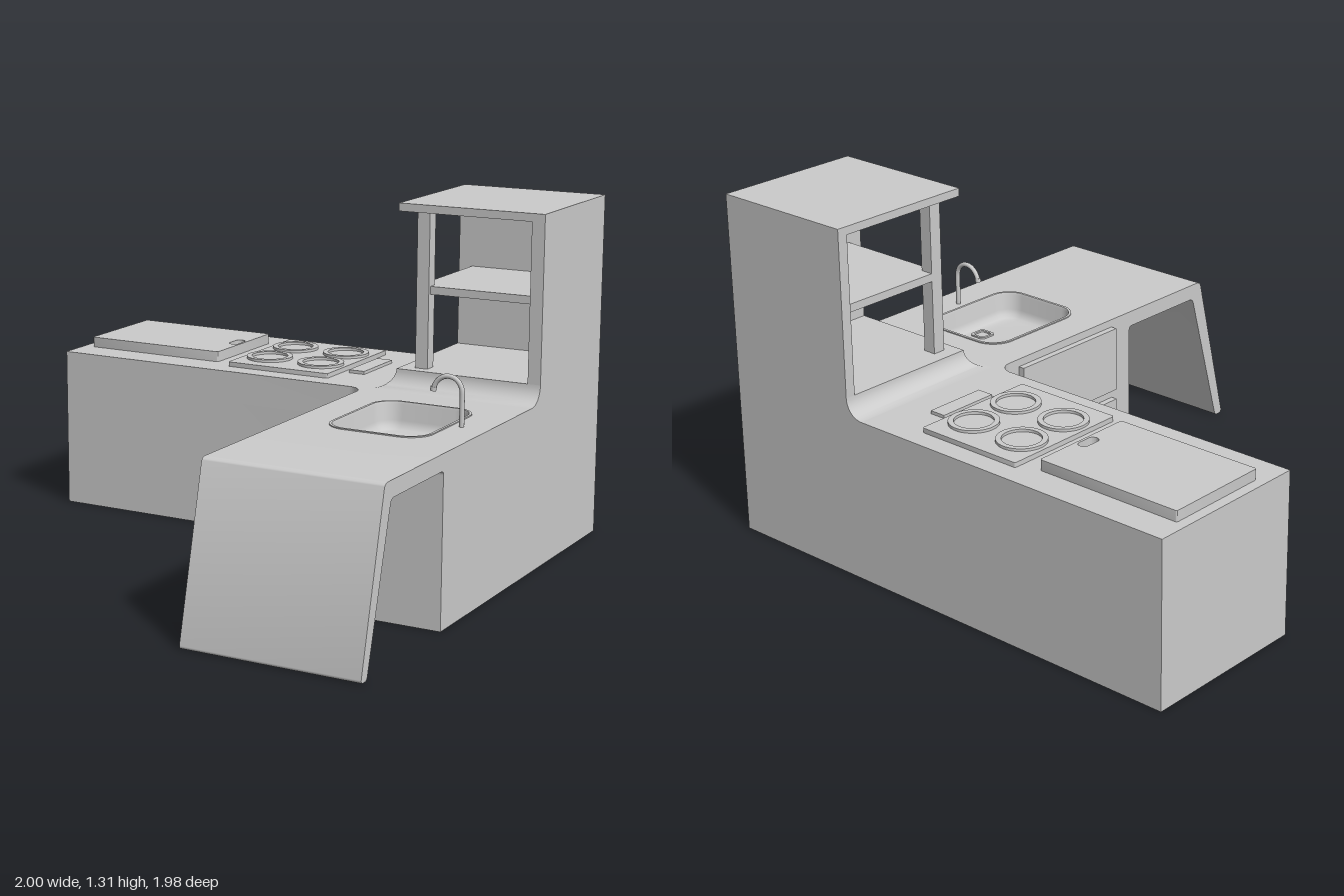
import * as THREE from 'three';
import { toCreasedNormals } from 'three/addons/utils/BufferGeometryUtils.js';

const material = new THREE.MeshStandardMaterial({ color: 0xcccccc });
const TOP = 0.62; // worktop height

function add(parent, name, geometry) {
  const mesh = new THREE.Mesh(geometry, material);
  mesh.name = name;
  parent.add(mesh);
  return mesh;
}

// Box given by its min and max corners
function box(parent, name, x0, x1, y0, y1, z0, z1) {
  const mesh = add(parent, name, new THREE.BoxGeometry(x1 - x0, y1 - y0, z1 - z0));
  mesh.position.set((x0 + x1) / 2, (y0 + y1) / 2, (z0 + z1) / 2);
  return mesh;
}

// Rounded rectangle in plan, counter-clockwise seen from above, as [x, z] pairs
function roundedRect(x0, x1, z0, z1, r, n = 10) {
  const corners = [[x1 - r, z0 + r], [x0 + r, z0 + r], [x0 + r, z1 - r], [x1 - r, z1 - r]];
  const points = [];
  corners.forEach(([cx, cz], k) => {
    for (let i = 0; i <= n; i++) {
      const a = (k + i / n) * Math.PI / 2;
      points.push([cx + r * Math.cos(a), cz - r * Math.sin(a)]);
    }
  });
  return points;
}

// Plan outline extruded upwards from y0 to y1
function planExtrude(shape, y0, y1) {
  const g = new THREE.ExtrudeGeometry(shape, { depth: y1 - y0, bevelEnabled: false, curveSegments: 10 });
  g.rotateX(-Math.PI / 2).translate(0, y0, 0);
  return toCreasedNormals(g, 0.5);
}

const toVectors = (points) => points.map(([x, z]) => new THREE.Vector2(x, -z));

// Skin over closed rings of [x, z] points at heights y; the last ring is capped
function loft(rings) {
  const n = rings[0].points.length;
  const positions = [];
  const index = [];
  for (const { points, y } of rings) for (const [x, z] of points) positions.push(x, y, z);
  for (let i = 0; i < rings.length - 1; i++) {
    for (let j = 0; j < n; j++) {
      const a = i * n + j, b = i * n + (j + 1) % n;
      index.push(a, b, b + n, a, b + n, a + n);
    }
  }
  const last = (rings.length - 1) * n;
  for (let j = 1; j < n - 1; j++) index.push(last, last + j, last + j + 1);
  const g = new THREE.BufferGeometry();
  g.setAttribute('position', new THREE.Float32BufferAttribute(positions, 3));
  g.setIndex(index);
  return toCreasedNormals(g, 0.7);
}

// L-shaped counter plan with a rounded inner corner
function counterShape() {
  const s = new THREE.Shape();
  s.moveTo(-1, 0.33);
  s.lineTo(0.27, 0.33);
  s.absarc(0.27, 0.27, 0.06, Math.PI / 2, 0, true);
  s.lineTo(0.33, -0.405);
  s.lineTo(1, -0.405);
  s.lineTo(1, 0.99);
  s.lineTo(-1, 0.99);
  s.closePath();
  return s;
}

function buildCounter(root) {
  const split = 0.5;
  add(root, 'counterBase', planExtrude(counterShape(), 0, split));
  const top = counterShape();
  top.holes.push(new THREE.Path(toVectors(roundedRect(0.475, 0.855, -0.195, 0.275, 0.085))));
  add(root, 'counterTop', planExtrude(top, split, TOP));

  // Overhanging worktop that folds down into a slanted leg
  const s = new THREE.Shape();
  s.moveTo(0.405, TOP);
  s.lineTo(0.405, 0.545);
  s.quadraticCurveTo(0.405, 0.56, 0.42, 0.56);
  s.lineTo(0.775, 0.56);
  s.quadraticCurveTo(0.793, 0.56, 0.799, 0.543);
  s.lineTo(0.948, 0.012);
  s.quadraticCurveTo(0.952, 0, 0.963, 0);
  s.lineTo(0.978, 0);
  s.quadraticCurveTo(0.993, 0, 0.99, 0.016);
  s.lineTo(0.846, 0.6);
  s.quadraticCurveTo(0.842, TOP, 0.82, TOP);
  s.closePath();
  const g = new THREE.ExtrudeGeometry(s, { depth: 0.67, bevelEnabled: false, curveSegments: 8 });
  g.rotateY(-Math.PI / 2).translate(1, 0, 0);
  add(root, 'slantedLegWorktop', toCreasedNormals(g, 0.5));

  // Drawer fronts on the inner side of the wing
  for (const [y0, y1] of [[0.035, 0.295], [0.335, 0.59]]) {
    box(root, 'drawerFront', 0.305, 0.33, y0, y1, -0.22, 0.3);
  }
}

function buildTower(root) {
  const tower = new THREE.Group();
  tower.name = 'shelfTower';
  root.add(tower);
  // Coved pedestal sweeping up from the worktop
  const r = 0.07;
  const rings = [];
  for (let i = 0; i <= 10; i++) {
    const a = i / 10 * Math.PI / 2;
    const d = r * (1 - Math.sin(a));
    const x = 0.425 - d, z = -0.41 + d;
    rings.push({ y: TOP + r * (1 - Math.cos(a)), points: [[1, z], [1, -0.99], [x, -0.99], [x, z]] });
  }
  add(tower, 'towerCove', loft(rings));
  const floor = TOP + r;
  box(tower, 'towerSideWall', 0.95, 1, floor, 1.28, -0.99, -0.41);
  box(tower, 'towerBackWall', 0.425, 0.95, floor, 1.28, -0.99, -0.95);
  box(tower, 'towerRoof', 0.425, 1, 1.28, 1.31, -0.99, -0.41);
  box(tower, 'towerPost', 0.48, 0.53, floor, 1.28, -0.505, -0.455);
  box(tower, 'towerShelf', 0.48, 0.95, 0.97, 1, -0.95, -0.47);
}

function buildSink(root) {
  const sink = new THREE.Group();
  sink.name = 'sink';
  root.add(sink);
  // Rim, walls and rounded bottom: inset from the rim and height
  const profile = [[0, TOP], [0, 0.624], [0.01, 0.624], [0.013, 0.615], [0.016, 0.555],
    [0.022, 0.537], [0.034, 0.524], [0.05, 0.52]];
  add(sink, 'sinkBowl', loft(profile.map(([d, y]) => ({
    y, points: roundedRect(0.47 + d, 0.86 - d, -0.2 + d, 0.28 - d, 0.09 - d),
  }))));
  const drain = new THREE.Shape(toVectors(roundedRect(0.735, 0.805, 0.005, 0.075, 0.015)));
  drain.holes.push(new THREE.Path(toVectors(roundedRect(0.745, 0.795, 0.015, 0.065, 0.01))));
  add(sink, 'drain', planExtrude(drain, 0.518, 0.526));

  // Gooseneck tap
  const path = new THREE.CurvePath();
  const v = (x, y) => new THREE.Vector3(x, y, 0.04);
  path.add(new THREE.LineCurve3(v(0.897, 0.61), v(0.897, 0.735)));
  path.add(new THREE.CubicBezierCurve3(v(0.897, 0.735), v(0.897, 0.81), v(0.8, 0.815), v(0.786, 0.738)));
  add(sink, 'tapSpout', new THREE.TubeGeometry(path, 40, 0.009, 12));
  const tip = add(sink, 'tapNozzle', new THREE.CylinderGeometry(0.011, 0.011, 0.015, 16));
  tip.position.set(0.787, 0.744, 0.04);
  tip.rotation.z = -0.18;
}

function buildCooking(root) {
  // Lift-out board with a finger slot
  const board = new THREE.Shape(toVectors(roundedRect(-0.96, -0.375, -0.87, -0.46, 0.008, 3)));
  board.holes.push(new THREE.Path(toVectors(roundedRect(-0.425, -0.385, -0.705, -0.62, 0.019, 6))));
  add(root, 'worktopBoard', planExtrude(board, TOP, 0.66));

  // Hob plate with four raised rings
  const hob = new THREE.Group();
  hob.name = 'hob';
  root.add(hob);
  const plate = new THREE.Shape(toVectors(roundedRect(-0.3, 0.135, -0.91, -0.41, 0.008, 3)));
  add(hob, 'hobPlate', planExtrude(plate, TOP, 0.638));
  for (const x of [-0.195, 0.03]) {
    for (const z of [-0.765, -0.555]) {
      const ring = new THREE.Shape().absarc(0, 0, 0.09, 0, Math.PI * 2);
      ring.holes.push(new THREE.Path().absarc(0, 0, 0.07, 0, Math.PI * 2));
      const g = new THREE.ExtrudeGeometry(ring, { depth: 0.012, bevelEnabled: false, curveSegments: 32 });
      g.rotateX(-Math.PI / 2);
      add(hob, 'burnerRing', toCreasedNormals(g, 0.5)).position.set(x, 0.636, z);
    }
  }
  box(root, 'controlPanel', 0.16, 0.225, TOP, 0.632, -0.78, -0.54);
}

export function createModel() {
  const root = new THREE.Group();
  root.name = 'kitchenUnit';
  buildCounter(root);
  buildTower(root);
  buildSink(root);
  buildCooking(root);
  return root;
}
